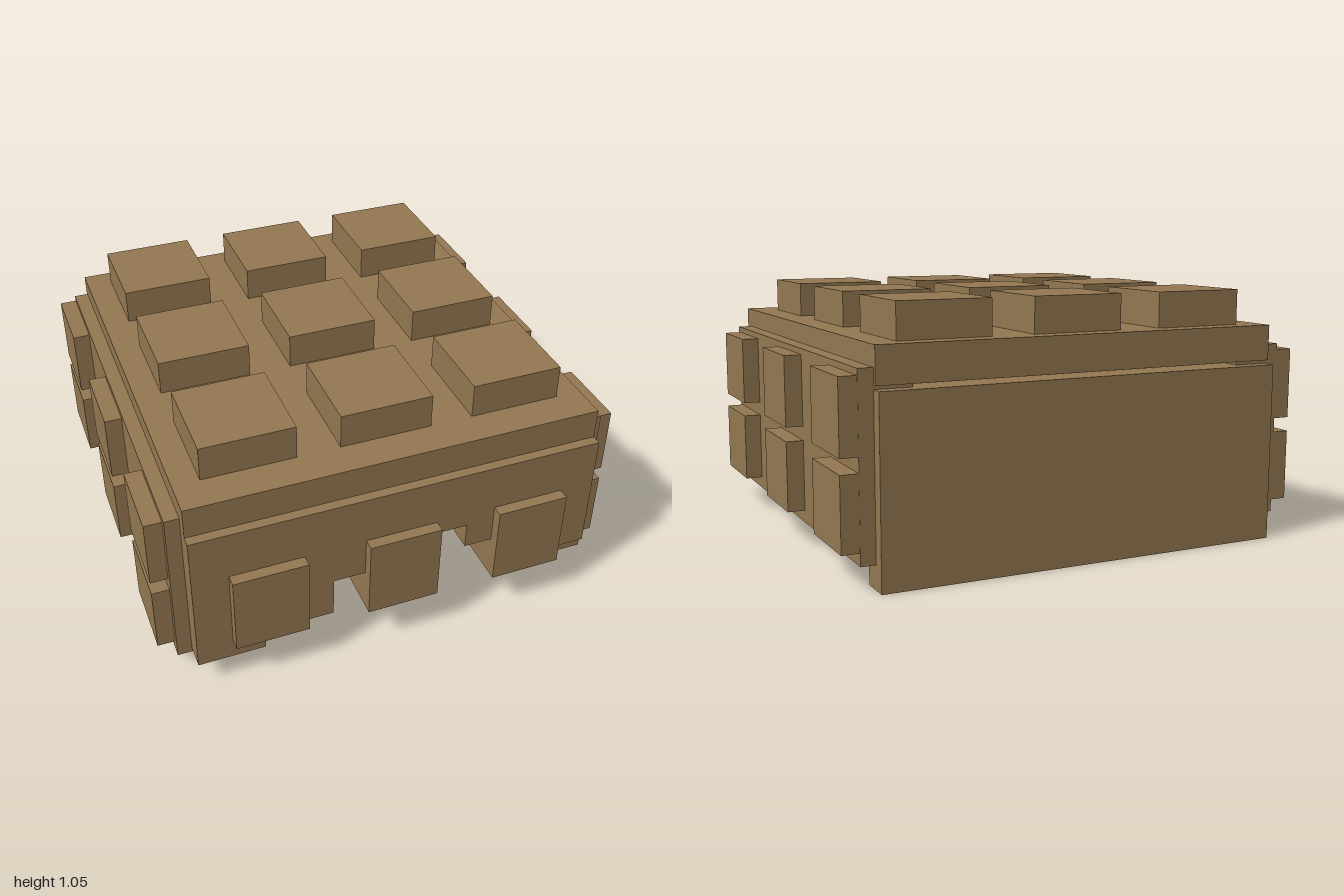
import * as THREE from 'three';

export function createModel() {
  const group = new THREE.Group();
  const brown = new THREE.MeshStandardMaterial({ color: 0x947852 });
  brown.name = 'brown';

  // Box given by its limits on each axis
  const box = (name, [x0, x1], [y0, y1], [z0, z1]) => {
    const mesh = new THREE.Mesh(new THREE.BoxGeometry(x1 - x0, y1 - y0, z1 - z0), brown);
    mesh.position.set((x0 + x1) / 2, (y0 + y1) / 2, (z0 + z1) / 2);
    mesh.name = name;
    group.add(mesh);
  };

  // Roof slab and back wall
  box('roofSlab', [-0.868, 0.868], [0.755, 0.902], [-0.925, 0.87]);
  box('backWall', [-0.868, 0.868], [0, 0.74], [-0.96, -0.83]);

  // Three by three grid of blocks on the roof
  for (const x of [-0.565, 0, 0.565]) {
    for (const z of [-0.655, -0.063, 0.53]) {
      box('roofBlock', [x - 0.193, x + 0.193], [0.78, 1.048], [z - 0.193, z + 0.193]);
    }
  }

  // Side walls, with blocks passing right through them
  for (const side of [-1, 1]) {
    const span = (a, b) => (side > 0 ? [a, b] : [-b, -a]);
    box('sideWall', span(0.738, 0.928), [0.097, 0.82], [-0.907, 0.814]);
    for (const z of [-0.743, -0.063, 0.62]) {
      for (const y of [0.295, 0.648]) {
        box('sideBlock', span(0.718, 1), [y - 0.147, y + 0.147], [z - 0.163, z + 0.163]);
      }
    }
  }

  // Front wall with a broken, stepped lower edge
  const outline = [
    [-0.868, 0.77], [-0.868, 0.117], [-0.584, 0.117], [-0.584, 0.206], [-0.29, 0.206],
    [-0.29, 0.385], [0, 0.385], [0, 0.5], [0.29, 0.5], [0.29, 0.385],
    [0.57, 0.385], [0.57, 0.236], [0.868, 0.236], [0.868, 0.77],
  ];
  const shape = new THREE.Shape(outline.map(([x, y]) => new THREE.Vector2(x, y)));
  const frontWall = new THREE.Mesh(
    new THREE.ExtrudeGeometry(shape, { depth: 0.1, bevelEnabled: false }), brown);
  frontWall.position.z = 0.812;
  frontWall.name = 'frontWall';
  group.add(frontWall);

  // Blocks passing through the front wall
  for (const x of [-0.565, 0, 0.565]) {
    box('frontBlock', [x - 0.154, x + 0.154], [0.204, 0.56], [0.66, 0.96]);
  }

  return group;
}
